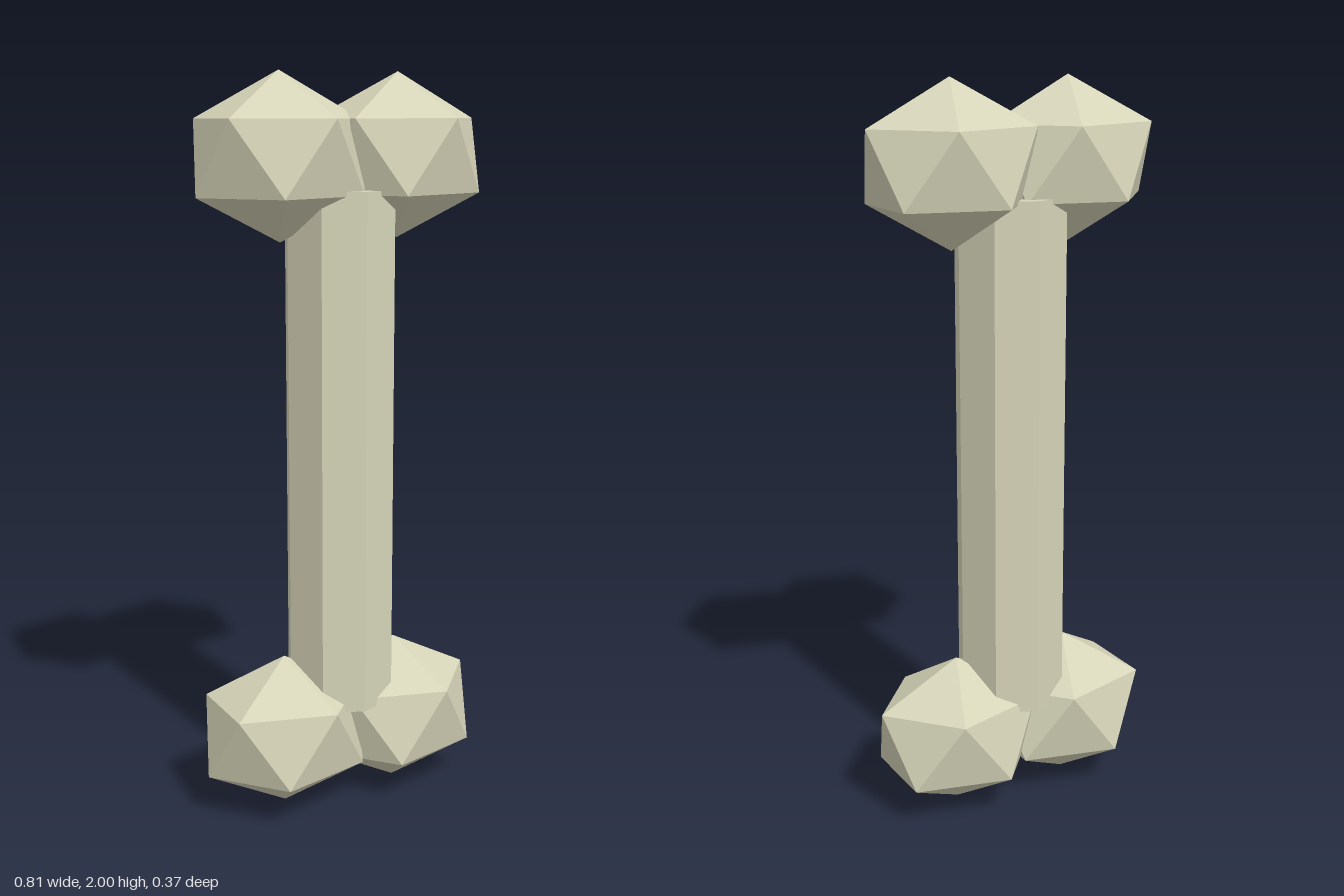
import * as THREE from 'three';

const KNOB_RADIUS = 0.216;

export function createModel() {
  const bone = new THREE.Group();
  bone.name = 'bone';
  const material = new THREE.MeshStandardMaterial({ color: 0xd6d4b8, flatShading: true });

  // Eight-sided shaft
  const bottom = 0.29, top = 1.7;
  const shaft = new THREE.Mesh(new THREE.CylinderGeometry(0.152, 0.152, top - bottom, 8), material);
  shaft.name = 'shaft';
  shaft.position.y = (top + bottom) / 2;
  bone.add(shaft);

  // Faceted knob: icosahedron turned to stand on one corner, widened sideways
  const knobGeometry = new THREE.IcosahedronGeometry(KNOB_RADIUS, 0);
  knobGeometry.rotateZ(-Math.atan(2 / (1 + Math.sqrt(5))));
  knobGeometry.scale(1.2, 1, 1);

  // A pair of knobs at each end
  for (const [end, y] of [['lower', KNOB_RADIUS], ['upper', 2 - KNOB_RADIUS]]) {
    for (const [side, x] of [['Left', 0.173], ['Right', -0.173]]) {
      const knob = new THREE.Mesh(knobGeometry, material);
      knob.name = `${end}${side}Knob`;
      knob.position.set(x, y, 0);
      bone.add(knob);
    }
  }
  return bone;
}
